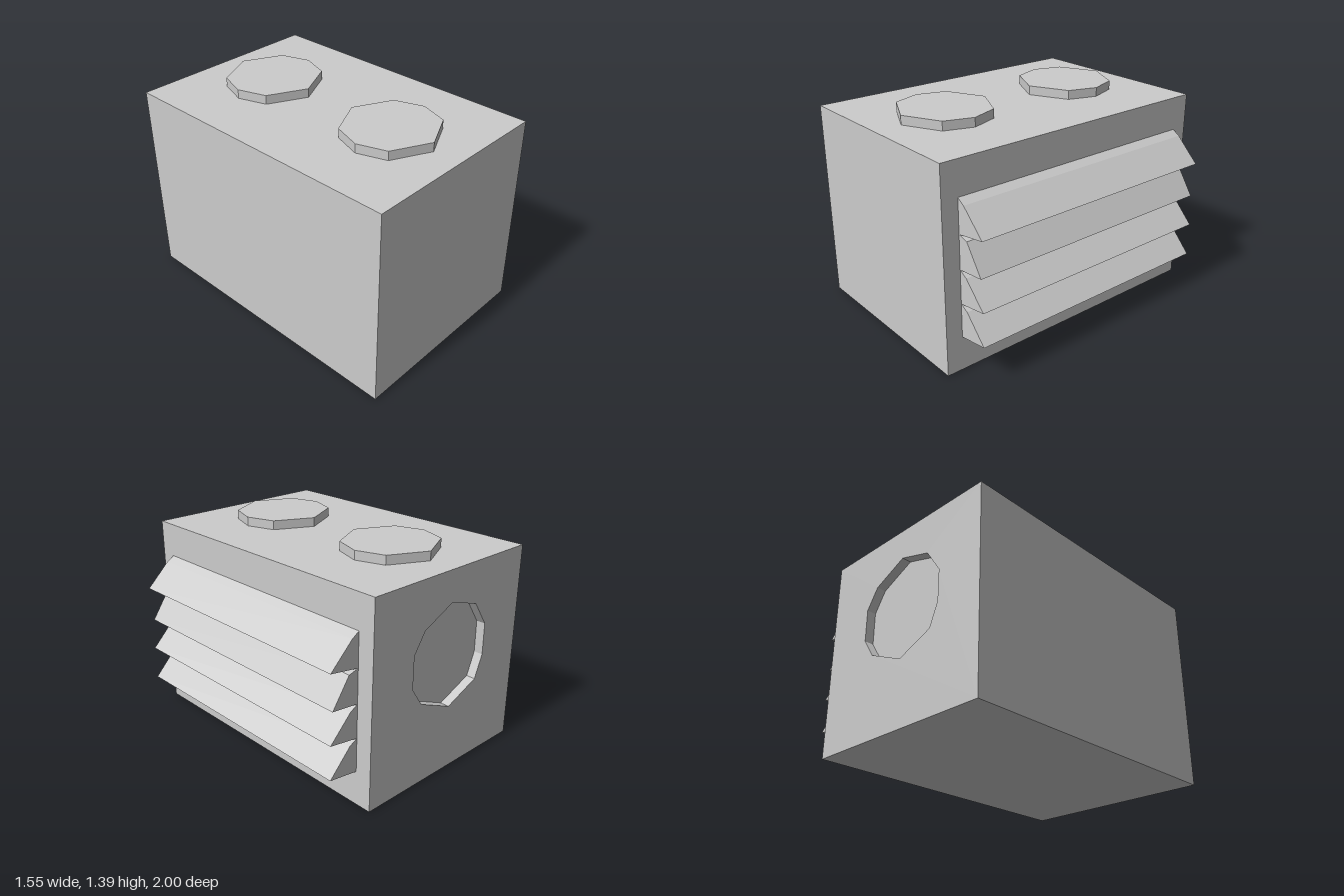
import * as THREE from 'three';

const LEFT = -0.775, RIGHT = 0.56, HEIGHT = 1.335, MID_X = (LEFT + RIGHT) / 2;
const RECESS = 0.06;

const material = new THREE.MeshStandardMaterial({ color: 0xcccccc, flatShading: true });
const points = list => list.map(([x, y]) => new THREE.Vector2(x, y));

function extrude(shape, depth) {
  return new THREE.ExtrudeGeometry(shape, { depth, bevelEnabled: false });
}

export function createModel() {
  const model = new THREE.Group();
  model.name = 'ventedBlock';
  const add = (name, geometry) => {
    const mesh = new THREE.Mesh(geometry, material);
    mesh.name = name;
    model.add(mesh);
    return mesh;
  };

  // Main block; its rear face is the floor of the recess
  add('body', new THREE.BoxGeometry(RIGHT - LEFT, HEIGHT, 2 - RECESS))
    .position.set(MID_X, HEIGHT / 2, RECESS / 2);

  // Rear plate with a rough round opening
  const plate = new THREE.Shape(points([[LEFT, 0], [RIGHT, 0], [RIGHT, HEIGHT], [LEFT, HEIGHT]]));
  plate.holes.push(new THREE.Path(points([
    [0.22, 0.89], [0.135, 1.02], [-0.1, 1.13], [-0.33, 1.06], [-0.44, 0.9],
    [-0.44, 0.69], [-0.38, 0.54], [-0.13, 0.437], [0.135, 0.55], [0.22, 0.675],
  ])));
  add('rearPlate', extrude(plate, RECESS)).position.z = -1;

  // Two flat eight-sided caps on top
  const cap = new THREE.Shape(points([
    [0.314, 0], [0.25, 0.19], [0, 0.314], [-0.25, 0.19],
    [-0.314, 0], [-0.25, -0.19], [0, -0.314], [0.25, -0.19],
  ]));
  for (const z of [-0.5, 0.5]) {
    const geometry = extrude(cap, 0.06).rotateX(-Math.PI / 2);
    add(z > 0 ? 'frontCap' : 'rearCap', geometry).position.set(MID_X, HEIGHT, z);
  }

  // Louvre slats: [top, shoulder x, shoulder y, tip x, tip y, bottom]
  const slats = [
    [1.112, 0.61, 1.08, 0.77, 0.925, 0.89],
    [0.89, 0.63, 0.872, 0.753, 0.69, 0.668],
    [0.668, 0.615, 0.637, 0.768, 0.48, 0.447],
    [0.447, 0.615, 0.418, 0.768, 0.256, 0.225],
  ];
  slats.forEach(([top, sx, sy, tx, ty, bottom], i) => {
    const profile = new THREE.Shape(points([[RIGHT, bottom], [tx, ty], [sx, sy], [RIGHT, top]]));
    add(`slat${i + 1}`, extrude(profile, 1.78)).position.z = -0.89;
  });

  return model;
}
